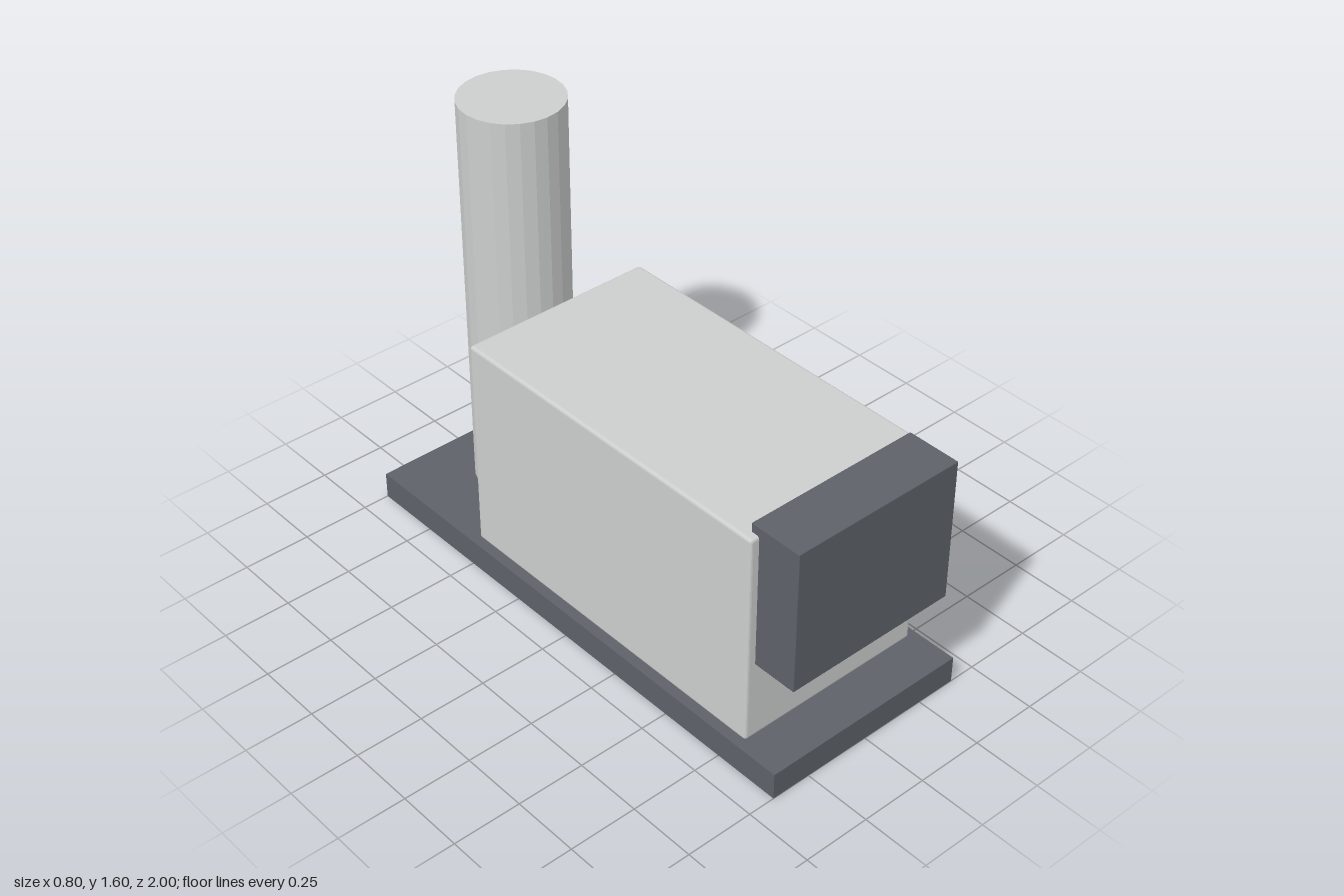
import * as THREE from 'three';
import { RoundedBoxGeometry } from 'three/addons/geometries/RoundedBoxGeometry.js';

const material = (name, color, flatShading = false) => {
  const m = new THREE.MeshStandardMaterial({ color, flatShading });
  m.name = name;
  return m;
};

export function createModel() {
  const model = new THREE.Group();
  model.name = 'machineUnit';
  const lightGrey = material('lightGrey', 0xcccecd, true);
  const darkGrey = material('darkGrey', 0x5e6169);
  const orange = material('orange', 0xd0934a);

  const add = (name, geometry, mat, x, y, z) => {
    const mesh = new THREE.Mesh(geometry, mat);
    mesh.name = name;
    mesh.position.set(x, y, z);
    model.add(mesh);
  };

  // Base slab
  add('base', new THREE.BoxGeometry(0.8, 0.1, 2), darkGrey, 0, 0.05, 0);

  // Main housing with slightly softened edges
  add('housing', new RoundedBoxGeometry(0.733, 0.8, 1.333, 2, 0.011), lightGrey, 0, 0.5, 0.167);

  // Front box, overlapping the housing and standing a little above it
  add('frontBox', new RoundedBoxGeometry(0.667, 0.533, 0.2, 1, 0.003), darkGrey, 0, 0.667, 0.9);

  // Faceted stack at the rear
  add('stack', new THREE.CylinderGeometry(0.183, 0.183, 1.5, 24), lightGrey, 0, 0.85, -0.7);

  // Painted stripe, on the left side only
  add('stripe', new THREE.BoxGeometry(0.006, 0.067, 1.335), orange, 0.3665, 0.767, 0.167);

  return model;
}
